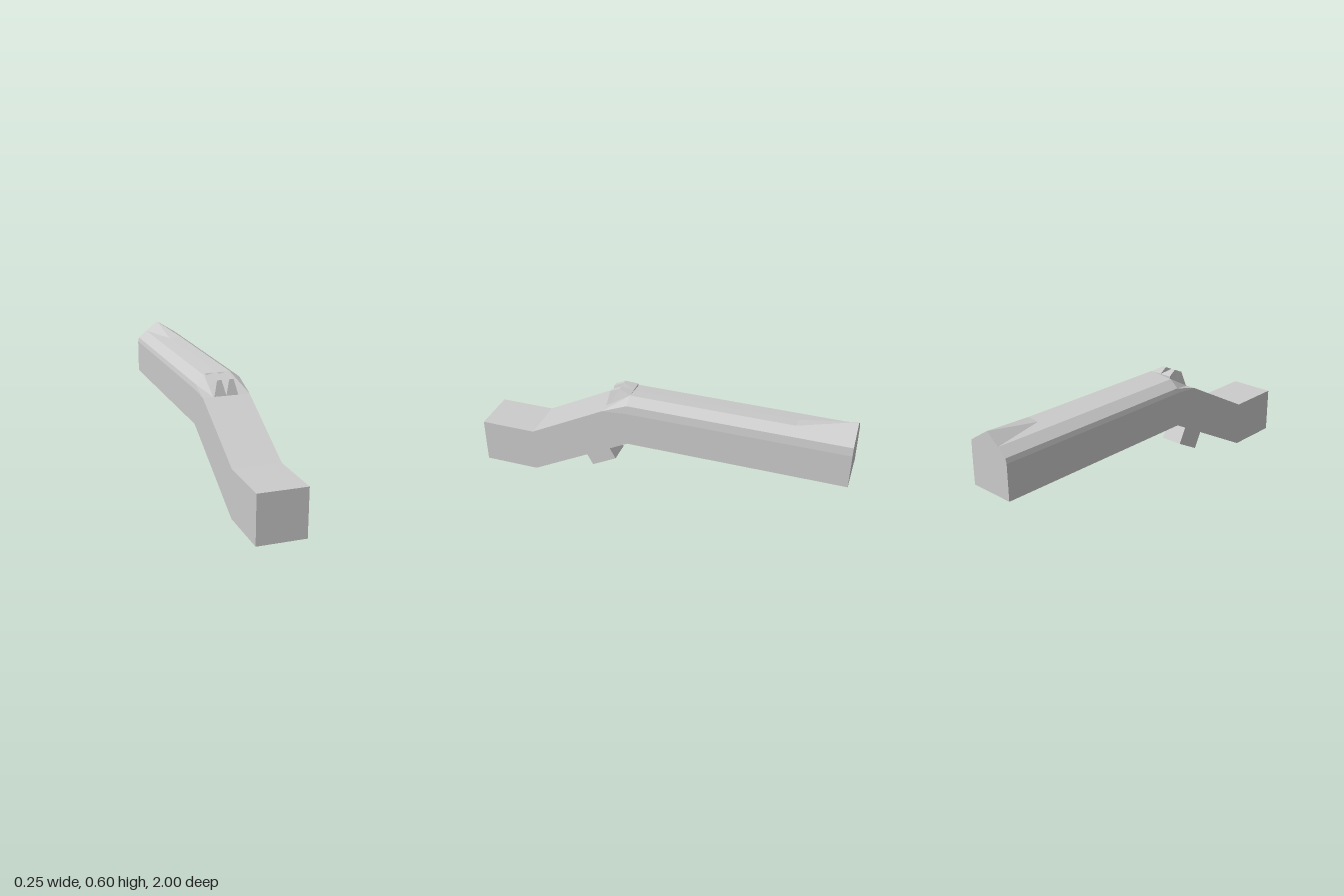
import * as THREE from 'three';

const material = new THREE.MeshStandardMaterial({ color: 0xcccccc, flatShading: true });

// Skin cross-sections (each clockwise seen from the front), ordered front to back.
function loft(name, sections) {
  const pos = [], n = sections[0].length;
  const tri = (...pts) => pts.forEach(p => pos.push(...p));
  for (let s = 0; s < sections.length - 1; s++) {
    const p = sections[s], q = sections[s + 1];
    for (let i = 0; i < n; i++) {
      const j = (i + 1) % n;
      tri(p[i], p[j], q[i]);
      tri(p[j], q[j], q[i]);
    }
  }
  const front = sections[0], back = sections[sections.length - 1];
  for (let i = 1; i < n - 1; i++) {
    tri(front[0], front[i + 1], front[i]);
    tri(back[0], back[i], back[i + 1]);
  }
  const geo = new THREE.BufferGeometry();
  geo.setAttribute('position', new THREE.Float32BufferAttribute(pos, 3));
  geo.computeVertexNormals();
  const mesh = new THREE.Mesh(geo, material);
  mesh.name = name;
  return mesh;
}

// Body sections share these x positions around the outline.
const xs = [-0.123, -0.123, -0.117, -0.07, 0, 0.065, 0.118, 0.123, 0.123];
const section = (z, ys) => xs.map((x, i) => [x, ys[i], z]);
// Plain rectangular section
const box = (z, lo, hi) => xs.map((x, i) =>
  [i === 2 ? -0.123 : i === 6 ? 0.123 : x, i === 0 || i === 8 ? lo : hi, z]);

// One tapering tooth of the front sight between xa and xb
function tooth(name, xa, xb) {
  const inset = 0.02;
  const row = (z, base, top, d) => [
    [xa, base, z], [xa + d, top, z], [xb - d, top, z], [xb, base, z]];
  return loft(name, [
    row(0.285, 0.465, 0.465, 0),
    row(0.268, 0.474, 0.543, inset),
    row(0.215, 0.504, 0.568, inset),
    row(0.15, 0.54, 0.552, 0)]);
}

export function createModel() {
  const model = new THREE.Group();
  model.name = 'steppedBar';

  // Block end, sloping neck and long bevelled bar rising to a peak at the back
  model.add(loft('body', [
    box(1, 0, 0.246),
    box(0.7, 0, 0.246),
    box(0.285, 0.219, 0.465),
    section(0.15, [0.29, 0.475, 0.5, 0.54, 0.547, 0.553, 0.52, 0.475, 0.29]),
    section(-0.71, [0.29, 0.475, 0.5, 0.54, 0.547, 0.553, 0.52, 0.475, 0.29]),
    section(-1, [0.29, 0.475, 0.5, 0.54, 0.595, 0.554, 0.52, 0.475, 0.29])]));

  // Pair of teeth at the top of the slope
  const teeth = new THREE.Group();
  teeth.name = 'teeth';
  teeth.add(tooth('rightTooth', -0.063, 0), tooth('leftTooth', 0, 0.063));
  model.add(teeth);

  // Lug hanging square to the underside of the slope
  const lug = new THREE.Mesh(new THREE.BoxGeometry(0.124, 0.11, 0.153), material);
  lug.name = 'lug';
  lug.position.set(0, 0.143, 0.338);
  lug.rotation.x = Math.atan2(0.29, 0.55);
  model.add(lug);

  return model;
}
